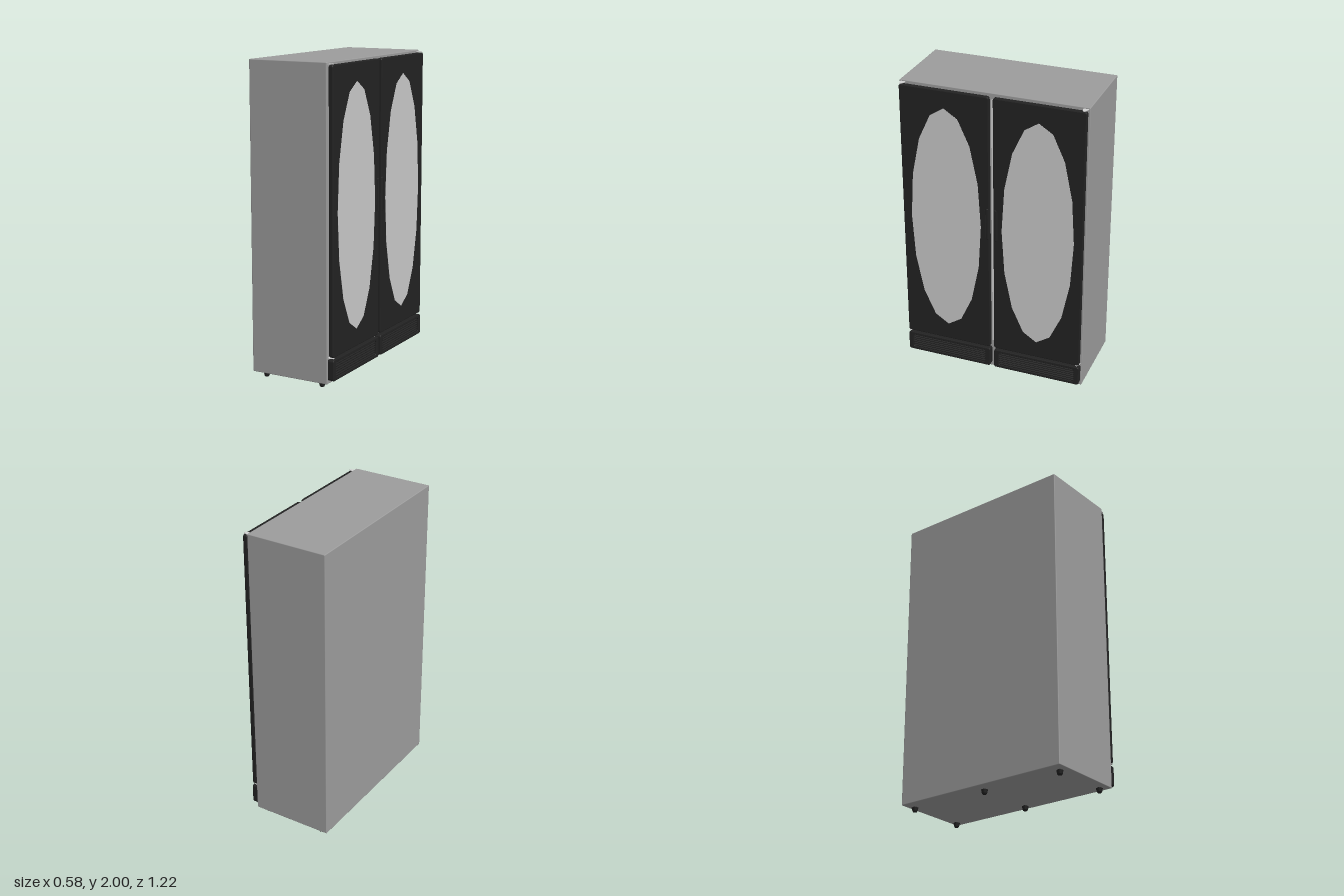
import * as THREE from 'three';
import { RoundedBoxGeometry } from 'three/addons/geometries/RoundedBoxGeometry.js';

const material = (name, color) => {
  const m = new THREE.MeshStandardMaterial({ color });
  m.name = name;
  return m;
};

// Rounded rectangle in (horizontal, y), centred on the given point
function roundedRect(Type, cx, cy, w, h, r) {
  const s = new Type(), x = w / 2 - r, y = h / 2 - r;
  s.absarc(cx + x, cy + y, r, 0, Math.PI / 2);
  s.absarc(cx - x, cy + y, r, Math.PI / 2, Math.PI);
  s.absarc(cx - x, cy - y, r, Math.PI, Math.PI * 1.5);
  s.absarc(cx + x, cy - y, r, Math.PI * 1.5, Math.PI * 2);
  s.closePath();
  return s;
}

// Extrude a shape towards +x, from x0 to x1, with a softened rim
function panel(shape, x0, x1, bevel = 0) {
  const g = new THREE.ExtrudeGeometry(shape, {
    depth: x1 - x0 - 2 * bevel, curveSegments: 6, bevelEnabled: bevel > 0,
    bevelThickness: bevel, bevelSize: bevel, bevelOffset: -bevel, bevelSegments: 2,
  });
  g.rotateY(Math.PI / 2);
  g.translate(x0 + bevel, 0, 0);
  return g;
}

export function createModel() {
  const model = new THREE.Group();
  model.name = 'doubleDoorCabinet';
  const grey = material('cabinetGrey', 0x9c9c9c);
  const black = material('trimBlack', 0x222222);
  const glass = material('windowGrey', 0xc8c8c8);
  const light = material('hingeLight', 0xd2d2d2);

  const add = (parent, name, geometry, mat, x = 0, y = 0, z = 0) => {
    const mesh = new THREE.Mesh(geometry, mat);
    mesh.name = name;
    mesh.position.set(x, y, z);
    parent.add(mesh);
    return mesh;
  };

  // Cabinet shell and the pale strip between the doors
  add(model, 'cabinet', new RoundedBoxGeometry(0.54, 1.965, 1.22, 2, 0.005), grey, -0.022, 1.0175, 0);
  add(model, 'centreStrip', new THREE.BoxGeometry(0.004, 1.72, 0.02), light, 0.249, 1.1, 0);

  for (const side of [1, -1]) {
    const name = side > 0 ? 'left' : 'right';
    const zc = side * 0.307;

    // Door with a rounded rim, held off the cabinet by a gasket
    const door = new THREE.Group();
    door.name = name + 'Door';
    door.position.z = zc;
    model.add(door);
    add(door, 'doorPanel', panel(roundedRect(THREE.Shape, 0, 1.095, 0.588, 1.78, 0.015), 0.256, 0.286, 0.006), black);
    add(door, 'gasket', new THREE.BoxGeometry(0.012, 1.74, 0.55), black, 0.252, 1.095, 0);

    // Sixteen-sided oval window
    const oval = Array.from({ length: 16 }, (_, i) => {
      const a = (i / 16) * Math.PI * 2;
      return new THREE.Vector2(Math.cos(a) * 0.237, 1.095 + Math.sin(a) * 0.775);
    });
    add(door, 'ovalWindow', panel(new THREE.Shape(oval), 0.284, 0.2875), glass);

    // Upright handle beside the gap, with a raised grip
    add(door, 'handle', new RoundedBoxGeometry(0.036, 0.22, 0.018, 2, 0.005), black, 0.272, 1.125, -side * 0.28);
    add(door, 'handleLip', new THREE.BoxGeometry(0.005, 0.2, 0.006), black, 0.288, 1.125, -side * 0.265);

    // Pale hinge plates at the outer corners
    for (const y of [1.988, 0.2]) {
      const plate = new THREE.Shape([[0, 0], [0.012, 0], [0.038, 0.006], [0.038, 0.018], [0.03, 0.024], [0, 0.034]]
        .map(([x, z]) => new THREE.Vector2(x, z - 0.017)));
      const g = new THREE.ExtrudeGeometry(plate, { depth: 0.004, bevelEnabled: false });
      g.rotateX(-Math.PI / 2);
      add(door, 'hinge', g, light, 0.247, y, side * 0.278);
    }

    // Ventilation grille below the door
    const grille = new THREE.Group();
    grille.name = name + 'Grille';
    grille.position.z = zc;
    model.add(grille);
    const frame = roundedRect(THREE.Shape, 0, 0.124, 0.588, 0.134, 0.015);
    frame.holes.push(roundedRect(THREE.Path, 0, 0.124, 0.52, 0.094, 0.01));
    add(grille, 'grilleFrame', panel(frame, 0.246, 0.289, 0.004), black);
    add(grille, 'grilleBack', new THREE.BoxGeometry(0.016, 0.11, 0.55), black, 0.255, 0.124, 0);
    for (let i = 0; i < 6; i++) {
      const slat = add(grille, 'slat', new THREE.BoxGeometry(0.022, 0.006, 0.53), black, 0.273, 0.086 + i * 0.0152, 0);
      slat.rotation.z = -0.4;
    }
  }

  // Six levelling feet
  for (const x of [-0.22, 0.185]) {
    for (const z of [-0.56, 0, 0.56]) {
      const foot = new THREE.Group();
      foot.name = 'foot';
      foot.position.set(x, 0, z);
      model.add(foot);
      add(foot, 'footPad', new THREE.CylinderGeometry(0.021, 0.016, 0.022, 16), black, 0, 0.017, 0);
      add(foot, 'footBase', new THREE.CylinderGeometry(0.016, 0.012, 0.006, 16), black, 0, 0.003, 0);
      add(foot, 'footStem', new THREE.CylinderGeometry(0.01, 0.01, 0.014, 12), black, 0, 0.033, 0);
    }
  }
  return model;
}
